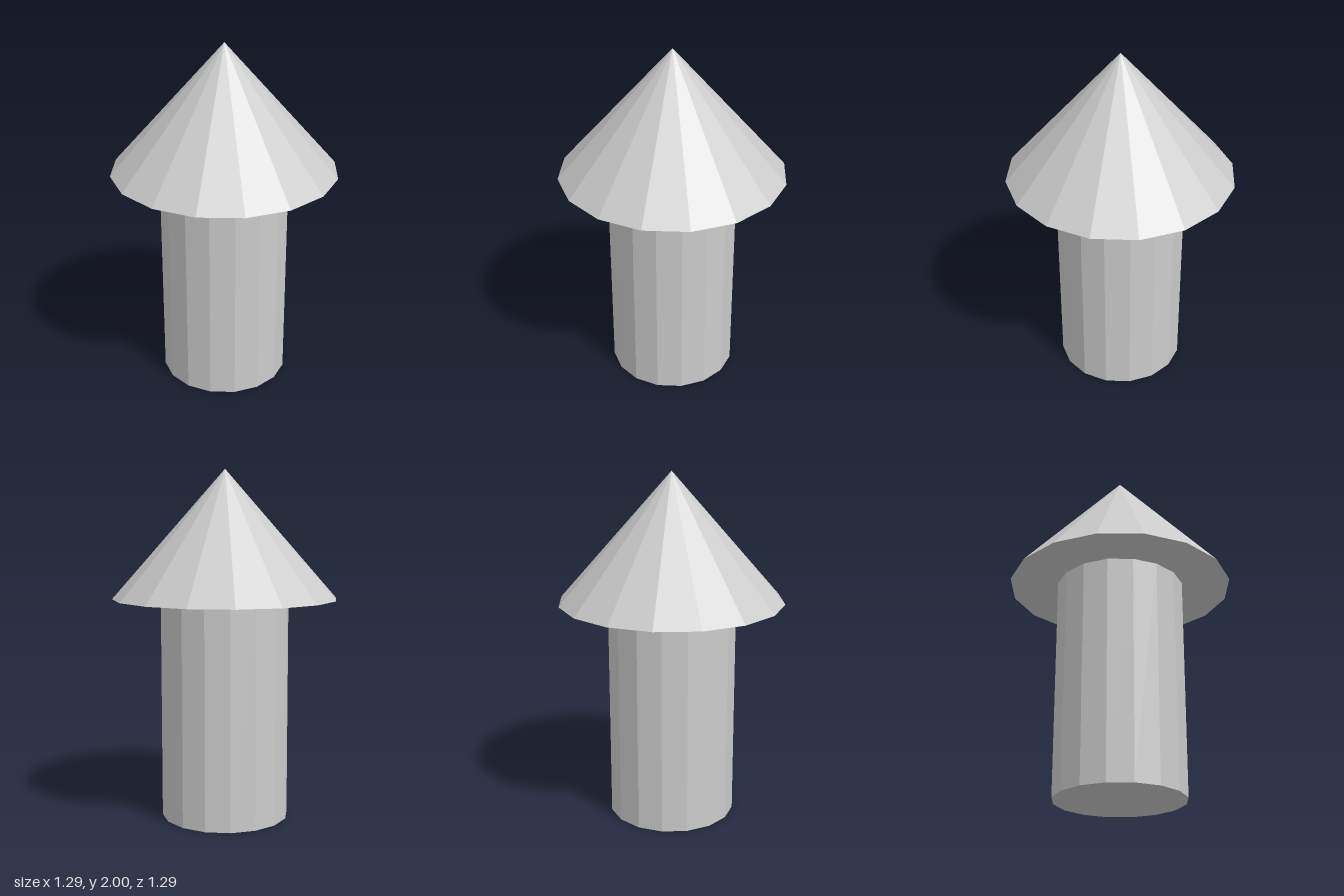
import * as THREE from 'three';

const SIDES = 16;
const SHAFT_RADIUS = 0.367;
const SHAFT_HEIGHT = 1.27;
const CONE_RADIUS = 0.643;
const TOTAL_HEIGHT = 2;

export function createModel() {
  const model = new THREE.Group();
  model.name = 'coneTippedPost';
  const material = new THREE.MeshStandardMaterial({ color: 0xcccccc, flatShading: true });

  // Straight shaft standing on the ground
  const shaft = new THREE.Mesh(
    new THREE.CylinderGeometry(SHAFT_RADIUS, SHAFT_RADIUS, SHAFT_HEIGHT, SIDES), material);
  shaft.name = 'shaft';
  shaft.position.y = SHAFT_HEIGHT / 2;
  model.add(shaft);

  // Wide pointed cap overhanging the shaft
  const coneHeight = TOTAL_HEIGHT - SHAFT_HEIGHT;
  const cap = new THREE.Mesh(new THREE.ConeGeometry(CONE_RADIUS, coneHeight, SIDES), material);
  cap.name = 'coneCap';
  cap.position.y = SHAFT_HEIGHT + coneHeight / 2;
  model.add(cap);

  return model;
}
